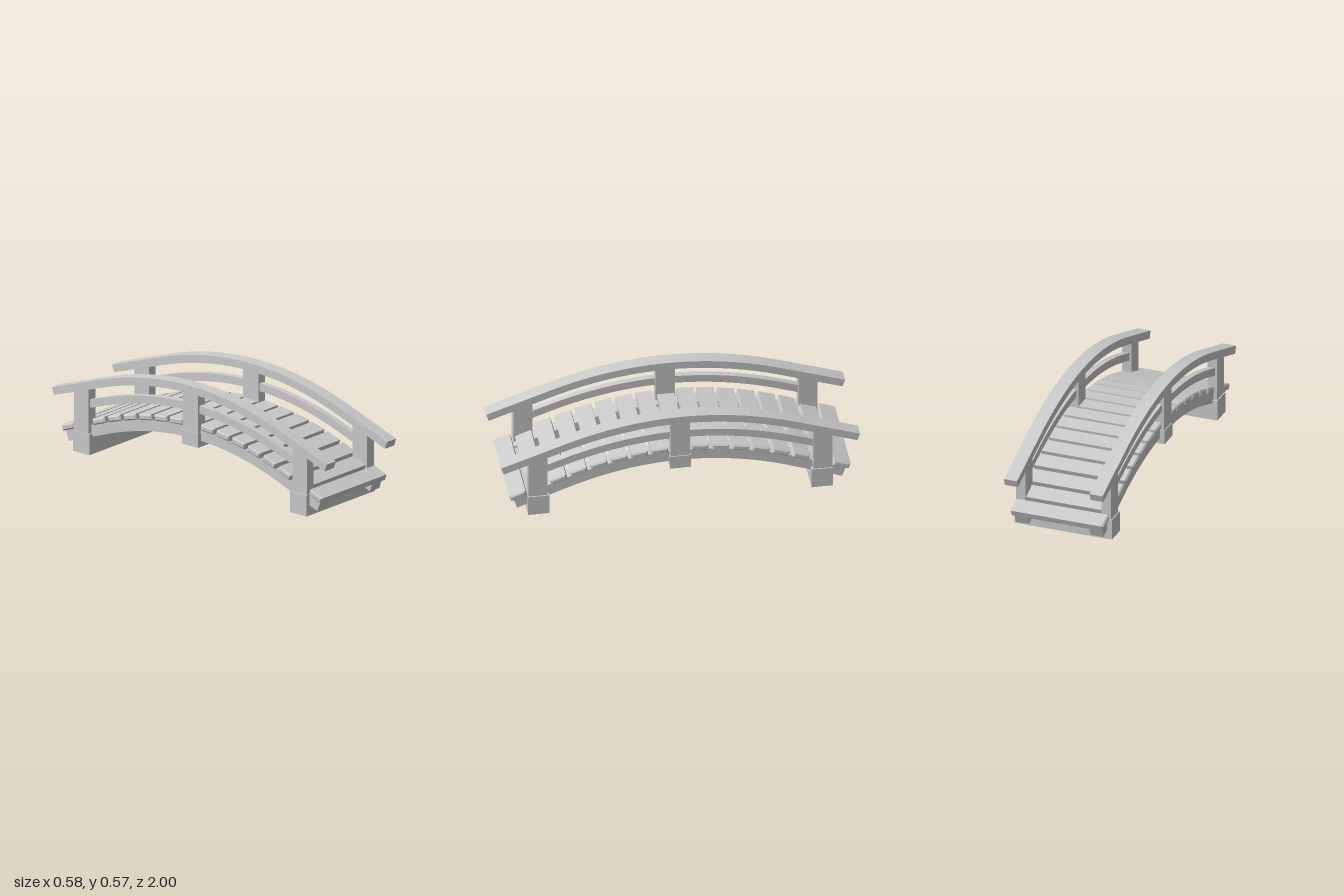
import * as THREE from 'three';
import { toCreasedNormals } from 'three/addons/utils/BufferGeometryUtils.js';

const material = new THREE.MeshStandardMaterial({ color: 0xcccccc });
const SIDE_X = 0.2525; // centre line of posts and rails

// How far the arch has fallen at z: a parabola that runs out straight at the ends
const BEND = 0.64;
const CURVE = 0.27;
function drop(z) {
  const a = Math.abs(z);
  return a < BEND ? CURVE * a * a : CURVE * BEND * (2 * a - BEND);
}
function dropSlope(z) {
  return Math.sign(z) * 2 * CURVE * Math.min(Math.abs(z), BEND);
}

function add(parent, name, geometry, x = 0, y = 0, z = 0) {
  const mesh = new THREE.Mesh(geometry, material);
  mesh.name = name;
  mesh.position.set(x, y, z);
  parent.add(mesh);
  return mesh;
}

// Shape in (z, y) extruded across x, centred on x = 0
function extrudeAcross(shape, width, options = {}) {
  const geometry = new THREE.ExtrudeGeometry(shape, { depth: width, bevelEnabled: false, ...options });
  geometry.translate(0, 0, -width / 2);
  geometry.rotateY(-Math.PI / 2);
  return geometry;
}

// Arched timber following the curve, with ends cut square to it
function archedBeam(z0, z1, crownY, height, width, steepness = 1) {
  const top = [];
  const bottom = [];
  const steps = Math.ceil(Math.abs(z1 - z0) * 20);
  for (let i = 0; i <= steps; i++) {
    const z = z0 + ((z1 - z0) * i) / steps;
    const y = crownY - steepness * drop(z);
    const normal = new THREE.Vector2(steepness * dropSlope(z), 1).setLength(height / 2);
    top.push(new THREE.Vector2(z + normal.x, y + normal.y));
    bottom.push(new THREE.Vector2(z - normal.x, y - normal.y));
  }
  const shape = new THREE.Shape([...bottom, ...top.reverse()]);
  return toCreasedNormals(extrudeAcross(shape, width), 0.5);
}

// Chamfered board, all edges bevelled
function plankGeometry(width, height, depth, bevel) {
  const z = depth / 2 - bevel;
  const y = height / 2 - bevel;
  const shape = new THREE.Shape();
  shape.moveTo(-z, -y);
  shape.lineTo(z, -y);
  shape.lineTo(z, y);
  shape.lineTo(-z, y);
  shape.closePath();
  return extrudeAcross(shape, width - 2 * bevel, {
    bevelEnabled: true, bevelThickness: bevel, bevelSize: bevel, bevelSegments: 1,
  });
}

export function createModel() {
  const bridge = new THREE.Group();
  bridge.name = 'archedFootbridge';
  const steep = 1.07; // the deck arch is slightly steeper than the rails

  // Deck planks laid along the arch
  const deck = new THREE.Group();
  deck.name = 'deck';
  bridge.add(deck);
  const plank = plankGeometry(0.55, 0.035, 0.095, 0.008);
  for (let i = -8; i <= 8; i++) {
    const z = i * 0.1125;
    const board = add(deck, 'plank', plank, 0, 0.338 - steep * drop(z), z);
    board.rotation.x = Math.atan(steep * dropSlope(z));
  }

  // Cross beams: one under the crown and a footing at each end
  add(bridge, 'centreCrossBeam', new THREE.BoxGeometry(0.572, 0.08, 0.116), 0, 0.26, 0);
  for (const end of [-1, 1]) {
    add(bridge, 'footing', new THREE.BoxGeometry(0.574, 0.12, 0.118), 0, 0.06, end * 0.789);
  }

  // Stringers, posts and rails, mirrored on both sides
  const stringer = archedBeam(-0.915, 0.915, 0.2875, 0.065, 0.078, steep);
  const handrail = archedBeam(-0.992, 0.992, 0.5475, 0.045, 0.077);
  const endPost = new THREE.BoxGeometry(0.057, 0.26, 0.106);
  const centrePost = new THREE.BoxGeometry(0.057, 0.25, 0.11);
  for (const side of [-1, 1]) {
    const frame = new THREE.Group();
    frame.name = side > 0 ? 'leftSide' : 'rightSide';
    bridge.add(frame);
    add(frame, 'stringer', stringer, side * 0.22);
    add(frame, 'handrail', handrail, side * SIDE_X);
    add(frame, 'centrePost', centrePost, side * SIDE_X, 0.415, 0);
    for (const end of [-1, 1]) {
      add(frame, 'endPost', endPost, side * SIDE_X, 0.25, end * 0.793);
      const midRail = archedBeam(end > 0 ? 0.04 : -0.75, end > 0 ? 0.75 : -0.04, 0.4375, 0.045, 0.034);
      add(frame, 'midRail', midRail, side * SIDE_X);
    }
  }
  return bridge;
}
